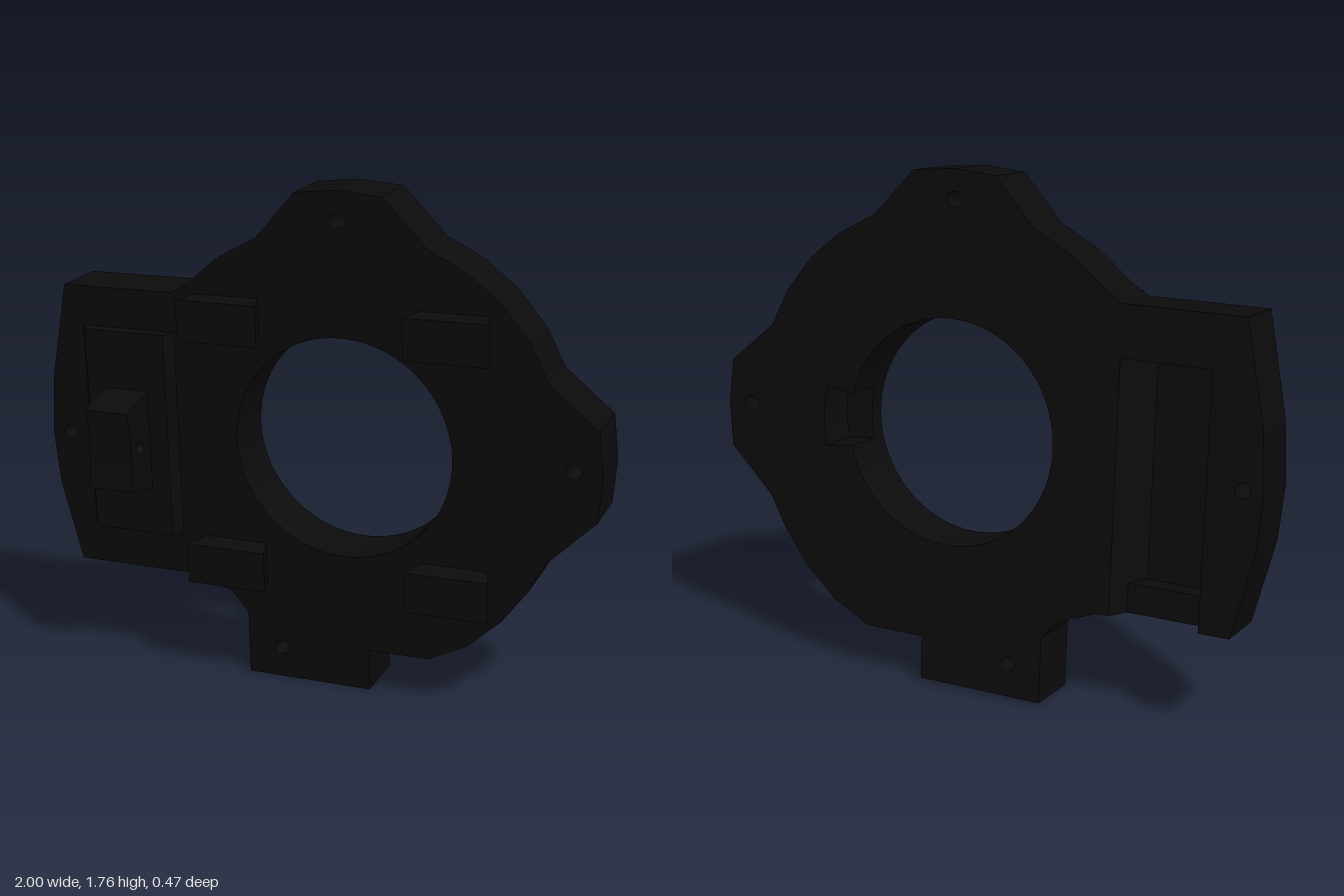
import * as THREE from 'three';

const TILT = 0.0655;      // the whole bracket leans forward slightly
const THICK = 0.205;
const SPLIT = -0.06;      // depth where the back layer begins
const HOLE = { x: 0.11, y: 0.877, r: 0.387 };
const BOLTS = [[0.11, 1.655], [0.905, 0.885], [-0.93, 0.835], [-0.135, 0.11]];

// Outline, anticlockwise, starting after the lower edge of the side wing
const OUTLINE = [
  [-0.46, 0.35], [-0.32, 0.3], [-0.26, 0.23], [-0.26, 0], [0.195, 0], [0.195, 0.15],
  [0.41, 0.15], [0.55, 0.22], [0.67, 0.33], [0.76, 0.45], [0.82, 0.56], [0.985, 0.72],
  [1, 0.875], [0.985, 1.03], [0.82, 1.17], [0.755, 1.3], [0.66, 1.42], [0.55, 1.51],
  [0.41, 1.585], [0.265, 1.741], [0.11, 1.755], [-0.04, 1.741], [-0.18, 1.585],
  [-0.32, 1.51], [-0.43, 1.42], [-0.5, 1.375], [-0.915, 1.375], [-0.985, 1.03],
  [-1, 0.83], [-0.985, 0.64], [-0.915, 0.35],
];
const CHANNEL = [[-0.81, 0.35], [-0.81, 1.2], [-0.5, 1.2], [-0.5, 0.35]];

const toShape = (pts) => new THREE.Shape(pts.map(([x, y]) => new THREE.Vector2(x, y)));
const extrude = (shape, depth) =>
  new THREE.ExtrudeGeometry(shape, { depth, bevelEnabled: false, curveSegments: 48 });

// Prism with an (x, z) section running from y0 to y1
function prismY(section, y0, y1) {
  const g = extrude(toShape(section.map(([x, z]) => [x, -z])), y1 - y0);
  return g.rotateX(-Math.PI / 2).translate(0, y0, 0);
}

function circle(x, y, r) {
  return new THREE.Path().absarc(x, y, r, 0, Math.PI * 2, true);
}

export function createModel() {
  const model = new THREE.Group();
  model.name = 'mountingBracket';
  const body = new THREE.Group();
  body.name = 'tiltedBody';
  body.rotation.x = TILT;
  body.position.z = -0.03;
  model.add(body);

  const black = new THREE.MeshStandardMaterial({ color: 0x0b0b0b });
  black.name = 'matteBlack';
  const add = (name, geometry) => {
    const mesh = new THREE.Mesh(geometry, black);
    mesh.name = name;
    body.add(mesh);
  };
  const bolts = () => BOLTS.map(([x, y]) => circle(x, y, 0.026));

  // Front layer: full outline with a round opening
  const front = toShape(OUTLINE);
  front.holes.push(circle(HOLE.x, HOLE.y, HOLE.r), ...bolts());
  add('frontPlate', extrude(front, -SPLIT).translate(0, 0, SPLIT));

  // Back layer: open channel in the wing, keyed notch in the opening
  const back = toShape([...OUTLINE, ...CHANNEL]);
  const keyed = new THREE.Path();
  const a = 0.24;
  keyed.absarc(HOLE.x, HOLE.y, HOLE.r, a, Math.PI * 2 - a, false);
  keyed.absarc(HOLE.x, HOLE.y, 0.49, -a * 0.9, a * 0.9, false);
  keyed.closePath();
  back.holes.push(keyed, ...bolts());
  add('backPlate', extrude(back, THICK + SPLIT).translate(0, 0, -THICK));

  // Sloped channel walls and the raised sill at its open end
  add('channelWallRight', prismY([[-0.81, -THICK], [-0.76, SPLIT], [-0.81, SPLIT]], 0.35, 1.2));
  add('channelWallLeft', prismY([[-0.5, -THICK], [-0.5, SPLIT], [-0.57, SPLIT]], 0.35, 1.2));
  add('channelSill', prismY([[-0.8, -0.135], [-0.51, -0.135], [-0.51, SPLIT], [-0.8, SPLIT]], 0.35, 0.45));

  // Raised panel on the wing
  add('raisedPanel', prismY([[-0.85, -0.01], [-0.5, -0.01], [-0.5, 0], [-0.52, 0.046], [-0.82, 0.046], [-0.85, 0]], 0.505, 1.235));

  // Lug with a cross hole, profile in (z, y)
  const lug = toShape([[0.03, 0.673], [0.204, 0.713], [0.189, 0.792], [0.186, 0.912], [0.2, 0.993], [0.03, 1.033]]);
  lug.holes.push(circle(0.12, 0.853, 0.028));
  add('lug', extrude(lug, 0.16).rotateY(-Math.PI / 2).translate(-0.59, 0, 0));

  // Four dovetail blocks around the opening
  for (const x of [-0.295, 0.505]) {
    for (const y of [0.36, 1.235]) {
      add('dovetailBlock', prismY([[x - 0.11, -0.01], [x + 0.11, -0.01], [x + 0.145, 0.096], [x - 0.145, 0.096]], y, y + 0.142));
    }
  }
  return model;
}
